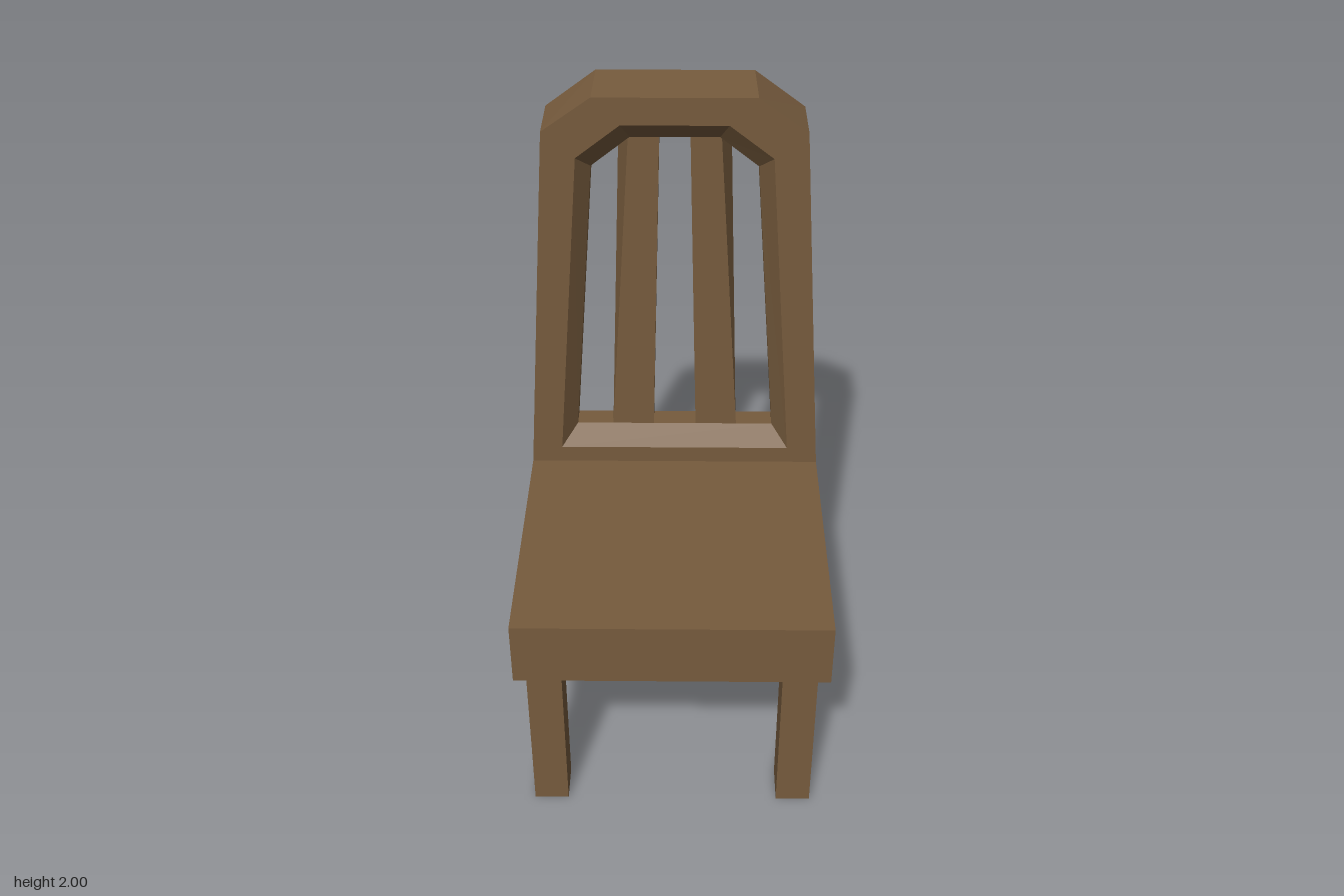
import * as THREE from 'three';

// Skin a list of equal-length point rings; joined end to end, or capped at both ends.
function loft(rings, closed) {
  const n = rings[0].length;
  const pos = [];
  const tri = (a, b, c) => pos.push(...a, ...b, ...c);
  const last = closed ? rings.length : rings.length - 1;
  for (let r = 0; r < last; r++) {
    const a = rings[r], b = rings[(r + 1) % rings.length];
    for (let i = 0; i < n; i++) {
      const j = (i + 1) % n;
      tri(a[i], a[j], b[j]);
      tri(a[i], b[j], b[i]);
    }
  }
  if (!closed) {
    const s = rings[0], e = rings[rings.length - 1];
    for (let i = 1; i < n - 1; i++) {
      tri(s[0], s[i + 1], s[i]);
      tri(e[0], e[i], e[i + 1]);
    }
  }
  const g = new THREE.BufferGeometry();
  g.setAttribute('position', new THREE.Float32BufferAttribute(pos, 3));
  g.computeVertexNormals();
  return g;
}

// Six-sided arch outline: right half is [bottom, shoulder, top], mirrored to the left.
function arch(half, z) {
  return [
    ...half.map(([x, y]) => [x, y, z]),
    ...half.slice().reverse().map(([x, y]) => [-x, y, z]),
  ];
}

// Horizontal rectangle for leg cross-sections.
function rect(x0, x1, z0, z1, y) {
  return [[x1, y, z1], [x1, y, z0], [x0, y, z0], [x0, y, z1]];
}

export function createModel() {
  const group = new THREE.Group();
  group.name = 'chair';
  const wood = new THREE.MeshStandardMaterial({ color: 0x765b3d });
  wood.name = 'brown wood';
  const add = (name, geometry) => {
    const mesh = new THREE.Mesh(geometry, wood);
    mesh.name = name;
    group.add(mesh);
    return mesh;
  };

  // Seat slab
  add('seat', new THREE.BoxGeometry(0.925, 0.203, 1)).position.y = 0.6435;

  // Backrest frame with an opening bevelled on both faces
  const hole = [[0.365, 0.8], [0.285, 1.81], [0.155, 1.91]];
  const inner = [[0.315, 0.855], [0.245, 1.76], [0.13, 1.85]];
  const front = -0.31, back = -0.5, bevel = 0.06;
  add('backFrame', loft([
    arch([[0.4625, 0.745], [0.38, 1.89], [0.23, 2]], back),
    arch([[0.4625, 0.745], [0.38, 1.89], [0.235, 1.992]], front),
    arch(hole, front),
    arch(inner, front - bevel),
    arch(inner, back + bevel),
    arch(hole, back),
  ], true));

  for (const side of [1, -1]) {
    const label = side > 0 ? 'left' : 'right';

    // Tapering slat, slightly wider at the top of its rear face
    const slatRing = (topOuter, z) => {
      const ring = [[0.068, 0.85], [0.2, 0.85], [topOuter, 1.855], [0.045, 1.855]]
        .map(([x, y]) => [side * x, y, z]);
      return side > 0 ? ring : ring.reverse();
    };
    add(label + 'Slat', loft([slatRing(0.165, back + bevel), slatRing(0.135, front - bevel)], false));

    // Square legs flaring out where they meet the seat
    for (const end of [1, -1]) {
      const cx = side * 0.377, cz = end * 0.405;
      const section = (hx, hz, y) => rect(cx - hx, cx + hx, cz - hz, cz + hz, y);
      add(label + (end > 0 ? 'FrontLeg' : 'BackLeg'), loft([
        section(0.052, 0.058, 0),
        section(0.052, 0.058, 0.515),
        section(0.085, 0.095, 0.543),
      ], false));
    }
  }
  return group;
}
